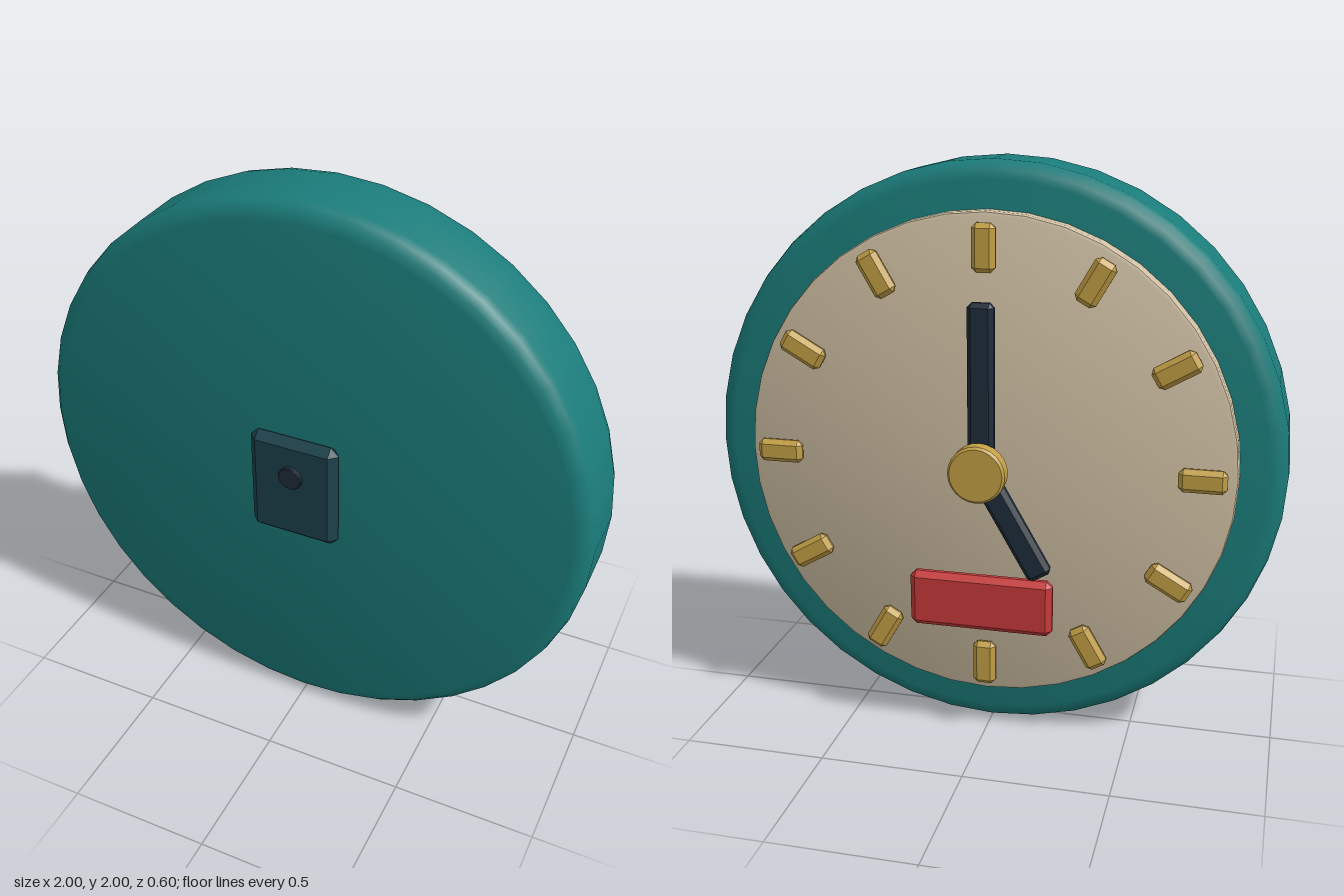
import * as THREE from 'three';
import { toCreasedNormals } from 'three/addons/utils/BufferGeometryUtils.js';
import { ConvexGeometry } from 'three/addons/geometries/ConvexGeometry.js';

const paint = (color) => new THREE.MeshStandardMaterial({ color });
const teal = paint(0x1a7c7a);
const cream = paint(0xcfbfa3);
const gold = paint(0xc4a045);
const navy = paint(0x1f2d3a);
const red = paint(0xc93a3a);
const slate = paint(0x1c424c);

function add(parent, name, geometry, material, x = 0, y = 0, z = 0) {
  const mesh = new THREE.Mesh(geometry, material);
  mesh.name = name;
  mesh.position.set(x, y, z);
  parent.add(mesh);
  return mesh;
}

// Disc lying across z0..z1 with a rounded rim on both edges
function disc(radius, z0, z1, bevel, sides, steps) {
  const profile = [new THREE.Vector2(0, z0)];
  for (const end of [0, 1]) {
    for (let i = 0; i <= steps; i++) {
      const a = (i / steps + end - 1) * Math.PI / 2;
      const centre = end ? z1 - bevel : z0 + bevel;
      profile.push(new THREE.Vector2(
        radius - bevel + bevel * Math.cos(a), centre + bevel * Math.sin(a)));
    }
  }
  profile.push(new THREE.Vector2(0, z1));
  const geometry = new THREE.LatheGeometry(profile, sides);
  geometry.rotateX(Math.PI / 2);
  return toCreasedNormals(geometry, 0.6);
}

// Box with all edges and corners cut by a chamfer
function chamferBox(w, h, d, c) {
  const half = [w / 2, h / 2, d / 2];
  const points = [];
  for (let corner = 0; corner < 8; corner++) {
    for (let axis = 0; axis < 3; axis++) {
      points.push(new THREE.Vector3(...half.map((s, i) =>
        (corner >> i & 1 ? 1 : -1) * (i === axis ? s : s - c))));
    }
  }
  return new ConvexGeometry(points);
}

export function createModel() {
  const clock = new THREE.Group();
  clock.name = 'wallClock';

  // Case and dial; the dial looks toward -z
  add(clock, 'case', disc(1, -0.1, 0.22, 0.06, 40, 3), teal, 0, 1);
  add(clock, 'dial', disc(0.845, -0.16, -0.09, 0.015, 40, 2), cream, 0, 1);

  // Hour markers
  const markers = new THREE.Group();
  markers.name = 'hourMarkers';
  markers.position.set(0, 1, -0.18);
  clock.add(markers);
  const bar = chamferBox(0.08, 0.16, 0.04, 0.016);
  for (let i = 0; i < 12; i++) {
    const a = i * Math.PI / 6;
    const marker = add(markers, 'hourMarker', bar, gold,
      0.73 * Math.sin(a), 0.73 * Math.cos(a));
    marker.rotation.z = -a;
  }

  // Hands, pivoting at the dial centre
  const hand = (name, length, z, angle) => {
    const geometry = chamferBox(0.09, length, 0.045, 0.015);
    geometry.translate(0, length / 2, 0);
    add(clock, name, geometry, navy, 0, 1, z).rotation.z = angle;
  };
  hand('minuteHand', 0.56, -0.218, 0);
  hand('hourHand', 0.42, -0.232, Math.PI * 5 / 6);
  add(clock, 'hub', disc(0.098, -0.3, -0.24, 0.008, 24, 1), gold, 0, 1);

  // Display plate low on the dial
  add(clock, 'displayPlate', chamferBox(0.5, 0.2, 0.055, 0.02), red, 0, 0.52, -0.2275);

  // Movement housing and setting knob on the other side
  add(clock, 'movementBox', chamferBox(0.32, 0.4, 0.06, 0.028), slate, 0, 1, 0.255);
  add(clock, 'settingKnob', disc(0.042, 0.27, 0.3, 0.003, 16, 1), navy, 0, 1.06);

  return clock;
}
